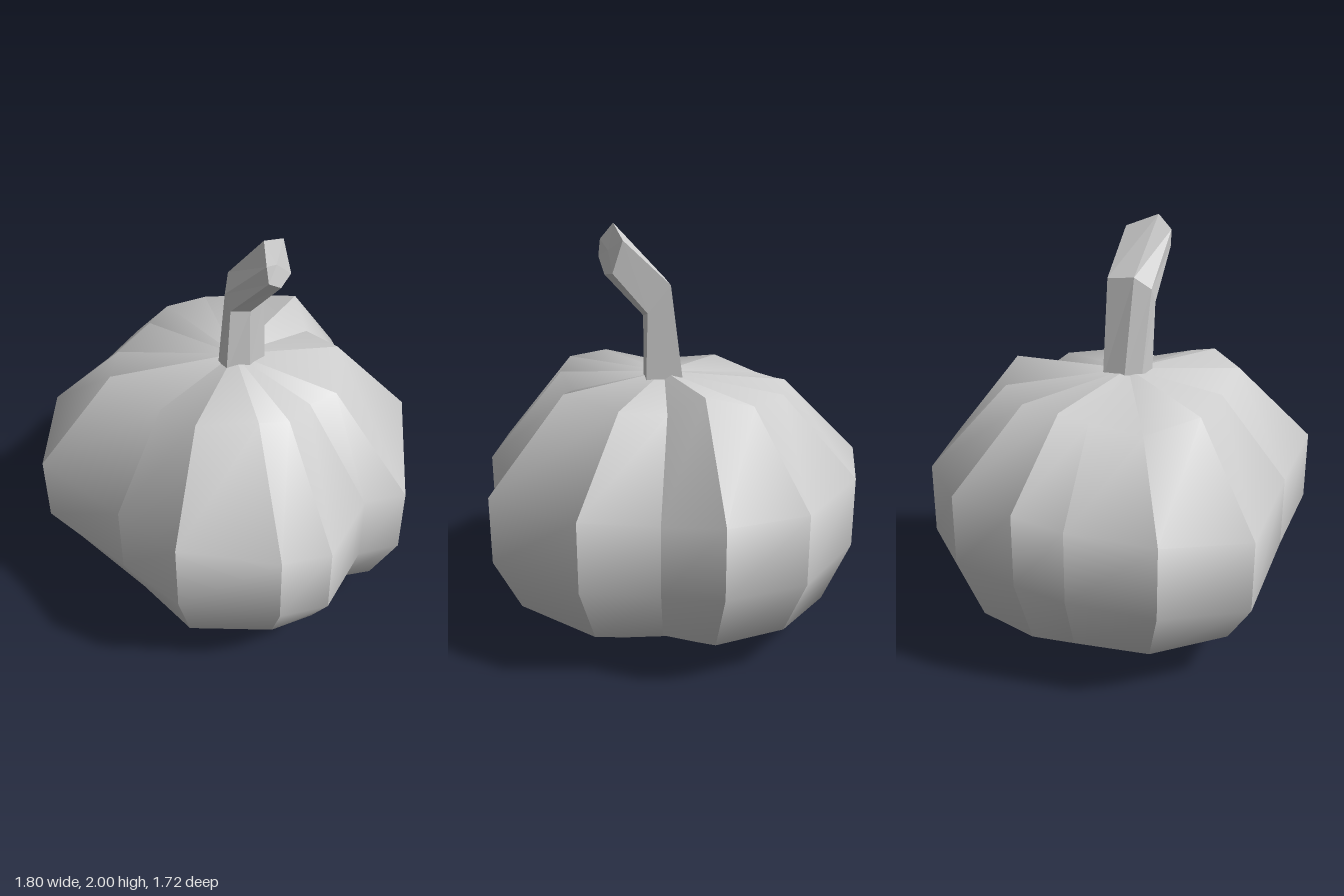
import * as THREE from 'three';
import { mergeGeometries } from 'three/addons/utils/BufferGeometryUtils.js';

// Skin through rows of [x, y, z] points, bottom row first, each row running counter-clockwise seen from above
function sheet(rows) {
  const n = rows[0].length;
  const index = [];
  for (let j = 0; j < rows.length - 1; j++) {
    for (let i = 0; i < n - 1; i++) {
      const a = j * n + i, b = a + 1, c = b + n, d = a + n;
      index.push(a, b, c, a, c, d);
    }
  }
  const geometry = new THREE.BufferGeometry();
  geometry.setAttribute('position', new THREE.Float32BufferAttribute(rows.flat(2), 3));
  geometry.setIndex(index);
  geometry.computeVertexNormals();
  return geometry;
}

const close = (row) => [...row, row[0]];

// Ribs of the body: x and z at the widest point, shoulder height, top height, foot height
const ribs = [
  [-0.11, -0.86, 0.86, 1.32, 0.07], [0.15, -0.72, 0.82, 1.22, 0.07], [0.51, -0.69, 0.85, 1.24, 0.07],
  [0.90, -0.21, 0.78, 1.24, 0.02], [0.82, 0.0, 0.82, 1.22, 0.07], [0.90, 0.32, 0.78, 1.26, 0.07],
  [0.81, 0.55, 0.83, 1.30, 0.07], [0.48, 0.86, 0.90, 1.28, 0.07], [0.07, 0.84, 0.82, 1.22, 0.07],
  [-0.50, 0.85, 0.77, 1.23, 0.07], [-0.81, 0.52, 0.83, 1.18, 0.07], [-0.87, 0.12, 0.85, 1.22, 0.07],
  [-0.90, -0.11, 0.90, 1.25, 0.07], [-0.80, -0.46, 0.88, 1.24, 0.07], [-0.50, -0.76, 0.85, 1.25, 0.07],
].reverse();

// Panels between ribs are smooth up and down, with a crease along every rib
function bodyGeometry() {
  const ring = (scale, height, cx = 0, cz = 0) => close(ribs.map(([x, z, ...heights]) => [
    cx + (x - cx) * scale, height(...heights), cz + (z - cz) * scale,
  ]));
  const pole = (point) => close(ribs.map(() => point));
  const foot = ring(0.54, (shoulder, top, low) => low);
  const rows = [
    foot,
    ring(0.86, (shoulder, top, low) => low + 0.155),
    ring(1, (shoulder) => shoulder - 0.34),
    ring(1, (shoulder) => shoulder),
    ring(0.6, (shoulder, top) => top, -0.03, 0.05),
    pole([0.03, 1.29, 0.05]),
  ];
  const panels = ribs.map((_, i) => sheet(rows.map((row) => [row[i], row[i + 1]])));
  const underside = sheet([pole([0.05, 0, -0.07]), foot]);
  return mergeGeometries([...panels, underside]);
}

// Bent six-sided stem with a slanted cut end
function stemGeometry() {
  const base = [[-0.05, 1.25, -0.05], [-0.05, 1.25, 0.06], [0, 1.25, 0.13],
    [0.08, 1.25, 0.155], [0.13, 1.25, 0.05], [0.13, 1.25, -0.05]];
  const bend = [[0.01, 1.73, -0.05], [0.02, 1.74, 0.08], [0.07, 1.68, 0.15],
    [0.11, 1.61, 0.155], [0.13, 1.57, 0.05], [0.12, 1.6, -0.05]];
  const end = [[0.23, 1.94, -0.045], [0.26, 2, 0.11], [0.32, 1.92, 0.155],
    [0.33, 1.84, 0.15], [0.31, 1.77, 0.05], [0.28, 1.79, -0.045]];
  const tip = end.map(() => [0.29, 1.88, 0.06]);
  return sheet([base, bend, end, tip].map(close));
}

export function createModel() {
  const group = new THREE.Group();
  group.name = 'pumpkin';

  const body = new THREE.Mesh(
    bodyGeometry(),
    new THREE.MeshStandardMaterial({ color: 0xcccccc }),
  );
  body.name = 'body';

  const stem = new THREE.Mesh(
    stemGeometry(),
    new THREE.MeshStandardMaterial({ color: 0xcccccc, flatShading: true }),
  );
  stem.name = 'stem';

  group.add(body, stem);
  return group;
}
